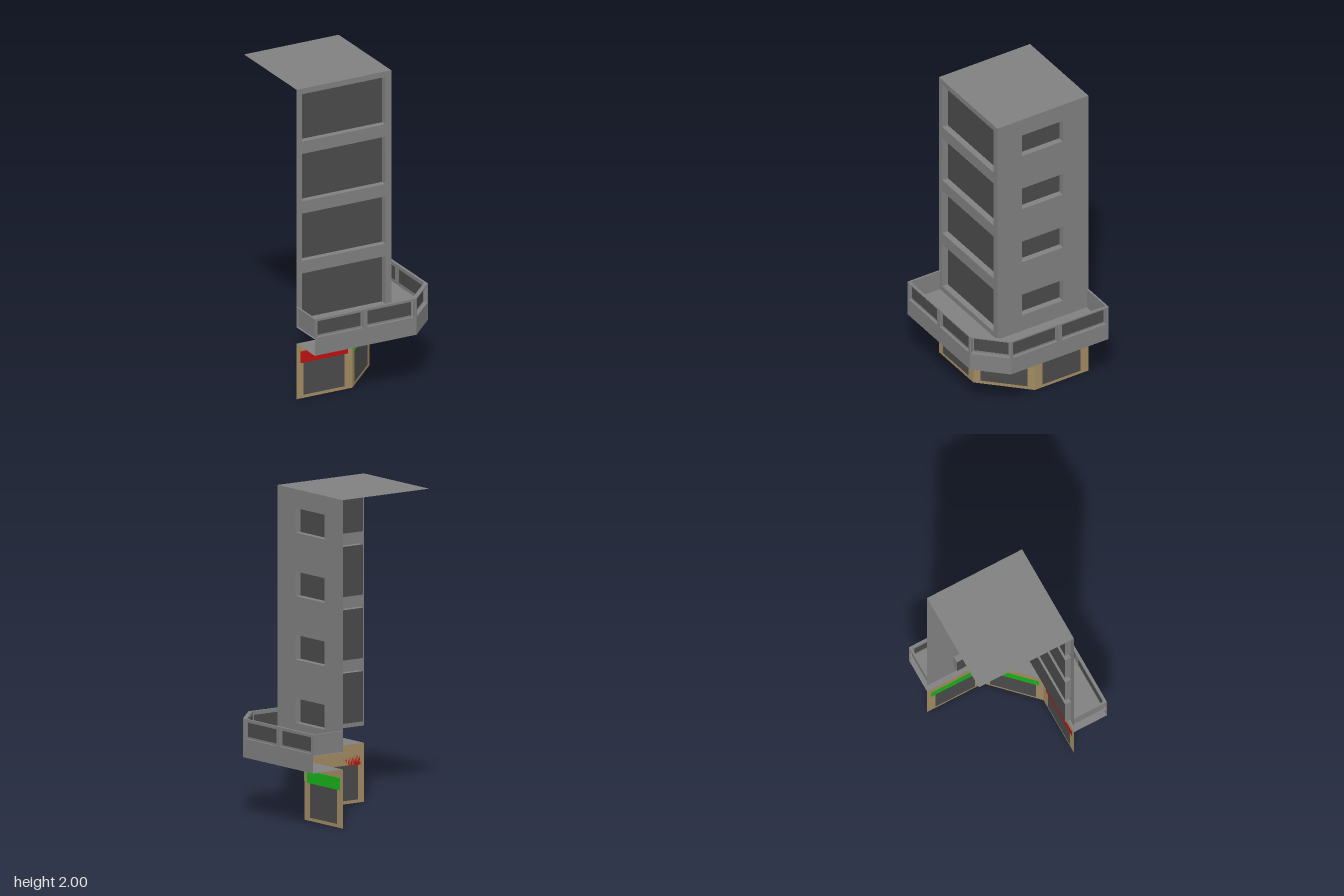
import * as THREE from 'three';

const mat = (color) => new THREE.MeshStandardMaterial({ color, side: THREE.DoubleSide, flatShading: true });

export function createModel() {
  const model = new THREE.Group();
  const concrete = mat(0x808080), glass = mat(0x4a4a4a), stone = mat(0xa08a62);
  const red = mat(0xbb1111), green = mat(0x18b018);

  const add = (parent, name, geo, material, x = 0, y = 0, z = 0) => {
    const m = new THREE.Mesh(geo, material);
    m.name = name;
    m.position.set(x, y, z);
    parent.add(m);
    return m;
  };

  // Frame running from plan point a to b: local x along the wall, local z outward
  const wallFrame = (name, [ax, az], [bx, bz]) => {
    const g = new THREE.Group();
    g.name = name;
    g.position.set(ax, 0, az);
    g.rotation.y = Math.atan2(az - bz, bx - ax);
    g.userData.length = Math.hypot(bx - ax, bz - az);
    model.add(g);
    return g;
  };

  const rect = (C, [u0, u1, v0, v1]) => {
    const s = new C();
    s.moveTo(u0, v0); s.lineTo(u1, v0); s.lineTo(u1, v1); s.lineTo(u0, v1); s.closePath();
    return s;
  };

  // Flat panel with rectangular openings
  const panel = (g, name, area, holes, material, z = 0) => {
    const s = rect(THREE.Shape, area);
    holes.forEach((h) => s.holes.push(rect(THREE.Path, h)));
    add(g, name, new THREE.ShapeGeometry(s), material, 0, 0, z);
  };

  const pane = (g, [u0, u1, v0, v1], z) =>
    add(g, 'windowPane', new THREE.PlaneGeometry(u1 - u0, v1 - v0), glass, (u0 + u1) / 2, (v0 + v1) / 2, z);

  // Four-sided sleeve of a recessed opening
  const reveal = (g, [u0, u1, v0, v1], depth) => {
    const box = new THREE.BoxGeometry(u1 - u0, v1 - v0, depth);
    box.setIndex(Array.from(box.index.array.slice(0, 24)));
    box.clearGroups();
    add(g, 'windowReveal', box, concrete, (u0 + u1) / 2, (v0 + v1) / 2, -depth / 2);
  };

  // Horizontal sheet from plan points
  const sheet = (name, pts, y, material) => {
    const s = new THREE.Shape(pts.map(([x, z]) => new THREE.Vector2(x, -z)));
    add(model, name, new THREE.ShapeGeometry(s).rotateX(-Math.PI / 2), material, 0, y, 0);
  };

  const A = 0.437, T = 0.212, FLOOR = 0.36, DECK = 0.465, RAIL = 0.595;

  // Tower: two walls with four storeys of recessed windows, and a roof
  const towerWall = (name, a, b, u0, u1, v0, h) => {
    const g = wallFrame(name, a, b);
    const holes = [0, 1, 2, 3].map((i) => [u0, u1, v0 + i * 0.386, v0 + i * 0.386 + h]);
    panel(g, 'towerWall', [0, g.userData.length, DECK, 2], holes, concrete);
    holes.forEach((o) => { reveal(g, o, 0.04); pane(g, o, -0.04); });
  };
  towerWall('towerFront', [-A, T], [T, T], 0.037, 0.609, 0.5, 0.306);
  towerWall('towerRight', [T, T], [T, -A], 0.177, 0.467, 0.577, 0.15);
  sheet('roof', [[-A, -A], [-A, T], [T, T], [T, -A]], 2, concrete);

  // Balcony: outer skin, inner skin with glass, floor, deck and coping
  const balconySide = (name, a, b, inner, depth, openings) => {
    const g = wallFrame(name, a, b);
    const outer = openings.map(([u0, u1]) => [u0, u1, 0.475, 0.588]);
    const panes = openings.map(([, , u0, u1]) => [u0, u1, 0.486, 0.572]);
    panel(g, 'parapetOuter', [0, g.userData.length, FLOOR, RAIL], outer, concrete);
    panel(g, 'parapetInner', [inner[0], inner[1], DECK, RAIL], panes, concrete, -depth);
    outer.forEach((o) => reveal(g, o, depth));
    panes.forEach((o) => pane(g, o, -depth));
  };
  balconySide('balconyFront', [-A, A], [0.26, A], [0.012, 0.677], 0.017,
    [[0.018, 0.332, 0.028, 0.322], [0.362, 0.682, 0.372, 0.67]]);
  balconySide('balconyCorner', [0.26, A], [A, 0.26], [0, 0.25], 0.026, [[0.008, 0.242, 0.02, 0.23]]);
  balconySide('balconyRight', [A, 0.26], [A, -A], [0.02, 0.685], 0.017,
    [[0.015, 0.335, 0.027, 0.325], [0.365, 0.679, 0.375, 0.669]]);

  const outline = [[-A, A], [0.26, A], [A, 0.26], [A, -A]];
  const B = -0.055;
  sheet('balconyFloor', [...outline, [T, -A], [T, B], [B, T], [-A, T]], FLOOR, concrete);
  sheet('balconyDeck', [...outline, [T, -A], [T, T], [-A, T]], DECK, concrete);
  sheet('parapetCoping', [[-A, T], ...outline, [T, -A], [T, -0.425], [0.42, -0.425],
    [0.42, 0.24], [0.24, 0.42], [-0.425, 0.42], [-0.425, T]], RAIL, concrete);
  [['balconyEndBack', [0.42, -0.425], [T, -0.425]], ['balconyEndLeft', [-0.425, T], [-0.425, 0.42]]]
    .forEach(([name, a, b]) => {
      const g = wallFrame(name, a, b);
      panel(g, 'parapetEnd', [0, g.userData.length, DECK, RAIL], [], concrete);
    });

  // Ground floor: three shop fronts, each with a window and a coloured sign band
  const shop = (name, a, b, win, band, color) => {
    const g = wallFrame(name, a, b);
    const hole = [...win, 0.02, 0.235];
    panel(g, 'shopWall', [0, g.userData.length, 0, FLOOR], [hole], stone);
    pane(g, hole, 0);
    add(g, 'signBand', new THREE.BoxGeometry(band[1] - band[0], 0.074, 0.006), color,
      (band[0] + band[1]) / 2, 0.267, 0.003);
  };
  shop('shopFront', [-A, T], [B, T], [0.047, 0.327], [0.027, 0.35], red);
  shop('shopCorner', [B, T], [T, B], [0.045, 0.333], [0.028, 0.35], green);
  shop('shopRight', [T, B], [T, -A], [0.055, 0.325], [0.035, 0.355], green);

  return model;
}
